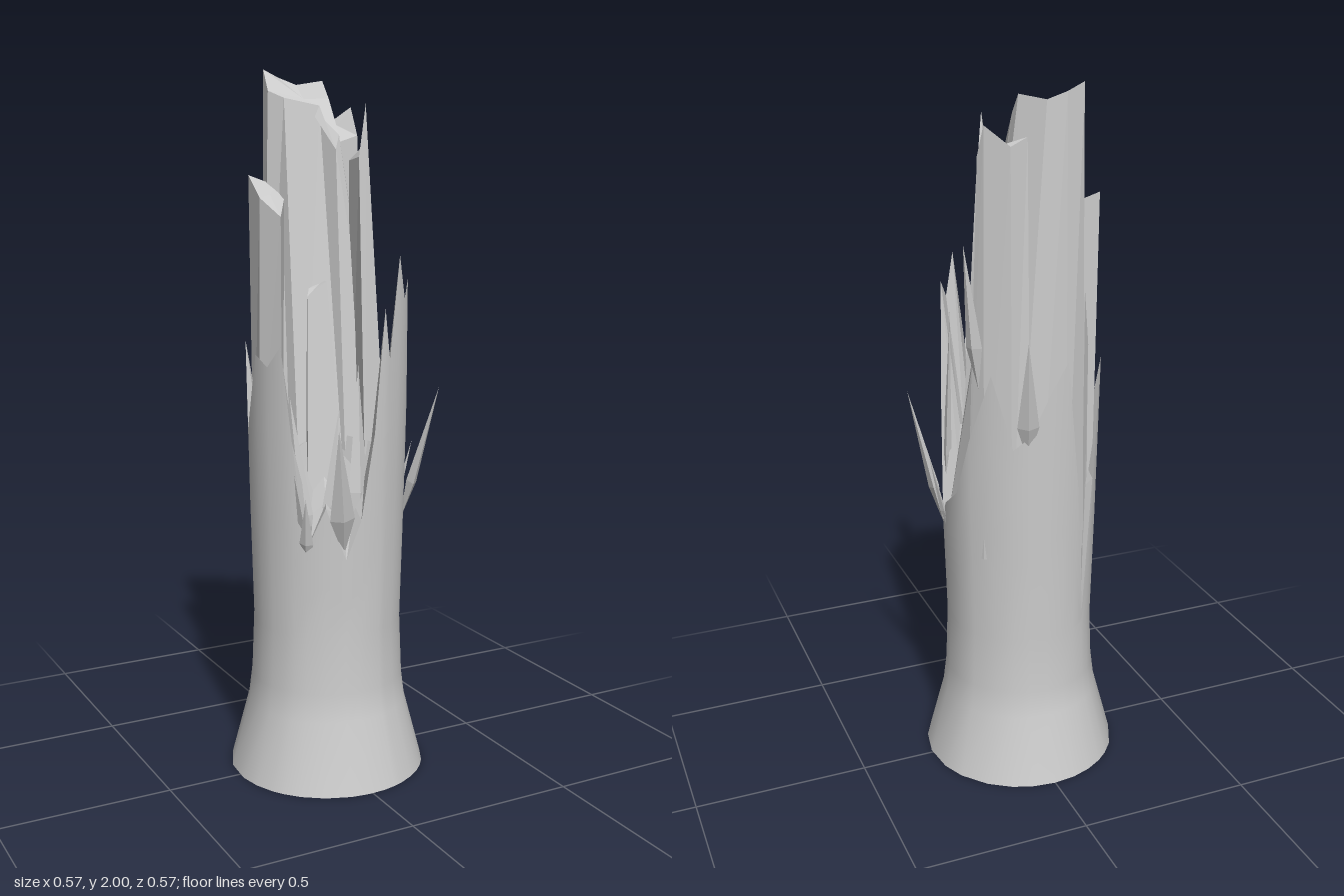
import * as THREE from 'three';

const smooth = new THREE.MeshStandardMaterial({ color: 0xcccccc, side: THREE.DoubleSide });
const faceted = new THREE.MeshStandardMaterial({ color: 0xcccccc, side: THREE.DoubleSide, flatShading: true });

// Jagged bark rim: [angle in degrees from the front towards +x, height]
const RIM = [
  [-60, 1.26], [-52, 1.0], [-42, 0.7], [-28, 0.82], [-13, 0.67], [-2, 0.78], [8, 1.02], [16, 1.36],
  [21, 1.22], [32, 1.5], [41, 1.38], [49, 1.43], [56, 1.08], [70, 0.74], [88, 0.82], [107, 0.88],
  [121, 1.05], [139, 1.25], [154, 1.04], [166, 1.08], [180, 1.2], [193, 1.28], [205, 0.9], [216, 0.5],
  [225, 0.9], [236, 1.25], [256, 1.01], [275, 1.23], [288, 1.2],
];
// Trunk outline: [height, radius]
const OUTLINE = [[0, 0.284], [0.2, 0.231], [0.28, 0.221], [0.45, 0.214], [0.8, 0.223], [1.25, 0.231], [2, 0.231]];

function trunkRadius(y) {
  const i = Math.max(1, OUTLINE.findIndex((p) => p[0] >= y));
  const [a, b] = [OUTLINE[i - 1], OUTLINE[i]];
  return THREE.MathUtils.mapLinear(y, a[0], b[0], a[1], b[1]);
}

function polar(deg, r, y) {
  const a = THREE.MathUtils.degToRad(deg);
  return [r * Math.sin(a), y, r * Math.cos(a)];
}

// Joins closed loops of points (each the same length) into one surface
function loft(name, loops, material, cap) {
  const n = loops[0].length;
  const points = loops.flat();
  const index = [];
  for (let j = 0; j < loops.length - 1; j++) {
    for (let i = 0; i < n; i++) {
      const a = j * n + i, b = j * n + ((i + 1) % n);
      index.push(a, b, b + n, a, b + n, a + n);
    }
  }
  if (cap) {
    const start = (loops.length - 1) * n;
    points.push(cap);
    for (let i = 0; i < n; i++) index.push(start + i, start + ((i + 1) % n), points.length - 1);
  }
  const g = new THREE.BufferGeometry();
  g.setAttribute('position', new THREE.Float32BufferAttribute(points.flat(), 3));
  g.setIndex(index);
  g.computeVertexNormals();
  const mesh = new THREE.Mesh(g, material);
  mesh.name = name;
  return mesh;
}

// Tapered chunk of wood; corners are [bottom x, bottom z, top x, top z, top y]
function chunk(name, bottom, corners) {
  const low = corners.map((c) => [c[0], bottom, c[1]]);
  const high = corners.map((c) => [c[2], c[4], c[3]]);
  const mid = [0, 1, 2].map((k) => high.reduce((s, p) => s + p[k], 0) / high.length);
  return loft(name, [low, high], faceted, mid);
}

// Thin pointed sliver from base to tip, flattened across its width
function splinter(from, to, width) {
  const a = new THREE.Vector3(...from), b = new THREE.Vector3(...to);
  const dir = b.clone().sub(a);
  const len = dir.length();
  const point = new THREE.ConeGeometry(width, len * 0.7, 4, 1, true);
  point.translate(0, len * 0.15, 0);
  const root = new THREE.ConeGeometry(width, len * 0.3, 4, 1, true);
  root.rotateX(Math.PI);
  root.translate(0, -len * 0.35, 0);
  const group = new THREE.Group();
  group.name = 'splinter';
  group.add(new THREE.Mesh(point, faceted), new THREE.Mesh(root, faceted));
  group.children.forEach((m, i) => { m.name = i ? 'splinterRoot' : 'splinterPoint'; });
  const out = new THREE.Vector3(a.x, 0, a.z).normalize();
  const y = dir.normalize();
  const x = new THREE.Vector3().crossVectors(y, out).normalize();
  const z = new THREE.Vector3().crossVectors(x, y);
  group.quaternion.setFromRotationMatrix(new THREE.Matrix4().makeBasis(x, y, z));
  group.position.copy(a).add(b).multiplyScalar(0.5);
  group.scale.z = 0.5;
  return group;
}

export function createModel() {
  const model = new THREE.Group();
  model.name = 'brokenTrunk';

  // Bark shell, open at the bottom
  const rows = [0, 0.2, 0.28, 0.45].map((y) => RIM.map(([d]) => polar(d, trunkRadius(y), y)));
  for (const t of [0.4, 0.75, 1]) {
    rows.push(RIM.map(([d, h]) => {
      const y = 0.45 + (h - 0.45) * t;
      return polar(d, trunkRadius(y), y);
    }));
  }
  model.add(loft('bark', rows, smooth));

  // Torn wood falling from the rim to the middle
  const rim = RIM.map(([d, h]) => polar(d, trunkRadius(h), h));
  const inner = RIM.map(([d, h]) => polar(d, 0.18, 0.3 * h + 0.58));
  model.add(loft('tornWood', [rim, inner], faceted, [-0.02, 1.0, 0]));

  // Tall standing chunks of the heart
  model.add(chunk('backSlab', 0.7, [
    [-0.12, 0.08, -0.08, -0.1, 1.92],
    [0, 0.13, 0.02, -0.08, 1.9],
    [0.16, 0.13, 0.035, -0.01, 1.78],
    [0.21, 0.05, 0.05, -0.02, 1.82],
    [0.2, -0.08, 0.06, -0.1, 1.92],
    [0.09, -0.195, 0.055, -0.13, 1.97],
    [0.03, -0.212, 0.0, -0.185, 1.96],
    [-0.06, -0.205, -0.05, -0.2, 1.98],
    [-0.13, -0.165, -0.1, -0.19, 2.0],
    [-0.16, -0.09, -0.11, -0.14, 1.94],
  ]));
  model.add(chunk('backLeftShard', 0.7, [
    [0.12, -0.08, 0.1, -0.12, 1.8],
    [0.195, -0.09, 0.166, -0.125, 1.82],
    [0.165, -0.145, 0.155, -0.145, 1.9],
    [0.1, -0.195, 0.1, -0.19, 1.85],
    [0.05, -0.21, 0.05, -0.18, 1.87],
  ]));
  model.add(chunk('backWood', 0.46, [
    [-0.07, -0.12, -0.08, -0.12, 1.3],
    [-0.06, -0.203, -0.08, -0.19, 1.3],
    [-0.125, -0.168, -0.12, -0.172, 1.45],
    [-0.17, -0.125, -0.155, -0.13, 1.25],
  ]));
  model.add(chunk('rightChunk', 0.8, [
    [-0.165, -0.14, -0.17, -0.145, 1.71],
    [-0.195, -0.04, -0.18, -0.05, 1.65],
    [-0.16, 0.04, -0.15, 0.02, 1.6],
    [-0.04, 0.0, -0.085, -0.09, 1.65],
    [-0.06, -0.12, -0.09, -0.13, 1.68],
  ]));
  model.add(chunk('frontShard', 0.75, [
    [0.03, 0.18, 0.05, 0.095, 1.76],
    [0.11, 0.17, 0.07, 0.095, 1.9],
    [0.15, 0.1, 0.1, 0.06, 1.72],
    [0.08, 0, 0.06, 0.02, 1.75],
  ]));
  model.add(chunk('lowFrontShard', 0.65, [
    [-0.12, 0.12, -0.07, 0.02, 1.38],
    [-0.01, 0.17, -0.015, 0.03, 1.42],
    [0.04, 0.08, 0.0, -0.02, 1.42],
    [-0.08, 0.02, -0.05, -0.01, 1.4],
  ]));

  // Slivers peeling off around the break: [base, tip, width]
  const slivers = [
    [[0.205, 0.72, 0.07], [0.283, 1.12, 0.15], 0.03],
    [[0.21, 0.72, 0.02], [0.255, 0.95, 0.05], 0.015],
    [[0.17, 1.2, -0.13], [0.21, 1.6, -0.135], 0.025],
    [[0.055, 1.0, -0.2], [0.085, 1.36, -0.275], 0.03],
    [[-0.05, 0.68, 0.2], [-0.11, 1.05, 0.282], 0.035],
    [[-0.13, 0.7, 0.15], [-0.19, 0.92, 0.175], 0.02],
    [[-0.14, 0.66, 0.15], [-0.165, 0.85, 0.195], 0.02],
    [[-0.13, 0.65, 0.14], [-0.17, 1.12, 0.11], 0.03],
    [[-0.08, 0.7, 0.18], [-0.04, 1.08, 0.15], 0.03],
    [[0.0, 0.7, 0.19], [0.02, 1.2, 0.15], 0.03],
    [[0.19, 0.75, 0.1], [0.16, 1.35, 0.12], 0.025],
  ];
  for (const s of slivers) model.add(splinter(...s));

  return model;
}
